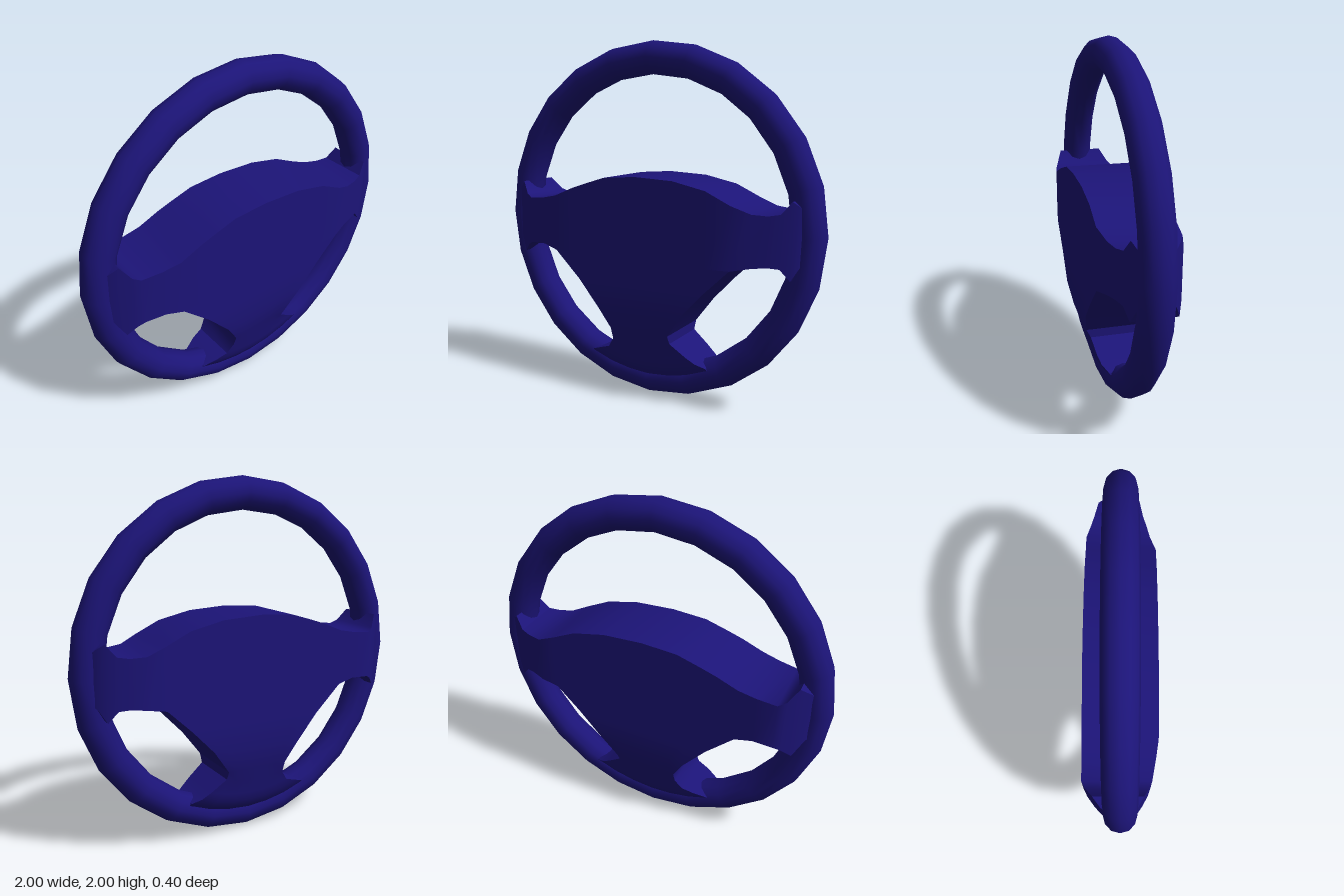
import * as THREE from 'three';
import { toCreasedNormals } from 'three/addons/utils/BufferGeometryUtils.js';

const material = new THREE.MeshStandardMaterial({ color: 0x1c1478 });

// Closed band lofted through sections: each has points [x, y] across and a front and back depth.
function slab(sections) {
  const n = sections[0].points.length;
  const positions = [];
  const index = [];
  for (const { points, front, back } of sections) {
    for (const [x, y] of points) positions.push(x, y, front);
    for (const [x, y] of [...points].reverse()) positions.push(x, y, -back);
  }
  const ring = 2 * n;
  for (let i = 0; i < sections.length - 1; i++) {
    for (let j = 0; j < ring; j++) {
      const k = (j + 1) % ring;
      const a = i * ring + j, b = (i + 1) * ring + j;
      const c = (i + 1) * ring + k, d = i * ring + k;
      index.push(a, b, c, a, c, d);
    }
  }
  const geometry = new THREE.BufferGeometry();
  geometry.setAttribute('position', new THREE.Float32BufferAttribute(positions, 3));
  geometry.setIndex(index);
  return toCreasedNormals(geometry, 0.6);
}

function addPart(group, name, geometry) {
  const mesh = new THREE.Mesh(geometry, material);
  mesh.name = name;
  group.add(mesh);
  return mesh;
}

export function createModel() {
  const group = new THREE.Group();
  group.name = 'steeringWheel';

  // Round rim with visible facets along its length
  addPart(group, 'rim', new THREE.TorusGeometry(0.91, 0.09, 12, 24)).position.y = 1;

  // Hub and side spokes: x, bottom, top, front depth, back depth
  const columns = [
    [-0.92, 0.88, 1.12, 0.06, 0.06],
    [-0.89, 0.86, 1.16, 0.09, 0.1],
    [-0.84, 0.77, 1.2, 0.12, 0.14],
    [-0.79, 0.82, 1.13, 0.15, 0.18],
    [-0.75, 0.84, 1.11, 0.165, 0.2],
    [-0.64, 0.845, 1.12, 0.185, 0.2],
    [-0.54, 0.82, 1.14, 0.2, 0.2],
    [-0.42, 0.82, 1.19, 0.2, 0.2],
    [-0.33, 0.82, 1.22, 0.2, 0.2],
    [-0.2, 0.82, 1.26, 0.2, 0.2],
    [0, 0.82, 1.275, 0.2, 0.2],
    [0.23, 0.82, 1.265, 0.2, 0.2],
    [0.42, 0.82, 1.225, 0.2, 0.2],
    [0.56, 0.825, 1.16, 0.2, 0.2],
    [0.66, 0.845, 1.12, 0.17, 0.2],
    [0.74, 0.855, 1.115, 0.15, 0.175],
    [0.8, 0.85, 1.125, 0.13, 0.155],
    [0.85, 0.79, 1.19, 0.11, 0.13],
    [0.89, 0.86, 1.16, 0.09, 0.1],
    [0.92, 0.88, 1.12, 0.06, 0.06],
  ];
  addPart(group, 'hubAndSideSpokes', slab(columns.map(([x, bottom, top, front, back]) => ({
    points: [[x, bottom], [x, top]], front, back,
  }))));

  // Lower spoke: left x, left y, right x, right y, sag in the middle, front and back depth
  const rows = [
    [-0.54, 0.82, 0.56, 0.825, 0, 0.2, 0.2],
    [-0.38, 0.67, 0.42, 0.69, 0, 0.2, 0.2],
    [-0.25, 0.52, 0.29, 0.55, 0, 0.2, 0.2],
    [-0.18, 0.4, 0.19, 0.41, 0, 0.175, 0.175],
    [-0.18, 0.33, 0.19, 0.36, 0.02, 0.15, 0.15],
    [-0.22, 0.27, 0.28, 0.295, 0.04, 0.135, 0.135],
    [-0.29, 0.245, 0.33, 0.26, 0.06, 0.12, 0.12],
    [-0.36, 0.215, 0.38, 0.235, 0.08, 0.092, 0.092],
    [-0.38, 0.17, 0.4, 0.18, 0.08, 0.05, 0.05],
  ];
  addPart(group, 'lowerSpoke', slab(rows.map(([lx, ly, rx, ry, sag, front, back]) => {
    const points = [];
    for (let i = 0; i <= 6; i++) {
      const t = i / 6;
      points.push([lx + (rx - lx) * t, ly + (ry - ly) * t - sag * 4 * t * (1 - t)]);
    }
    return { points, front, back };
  })));

  return group;
}
